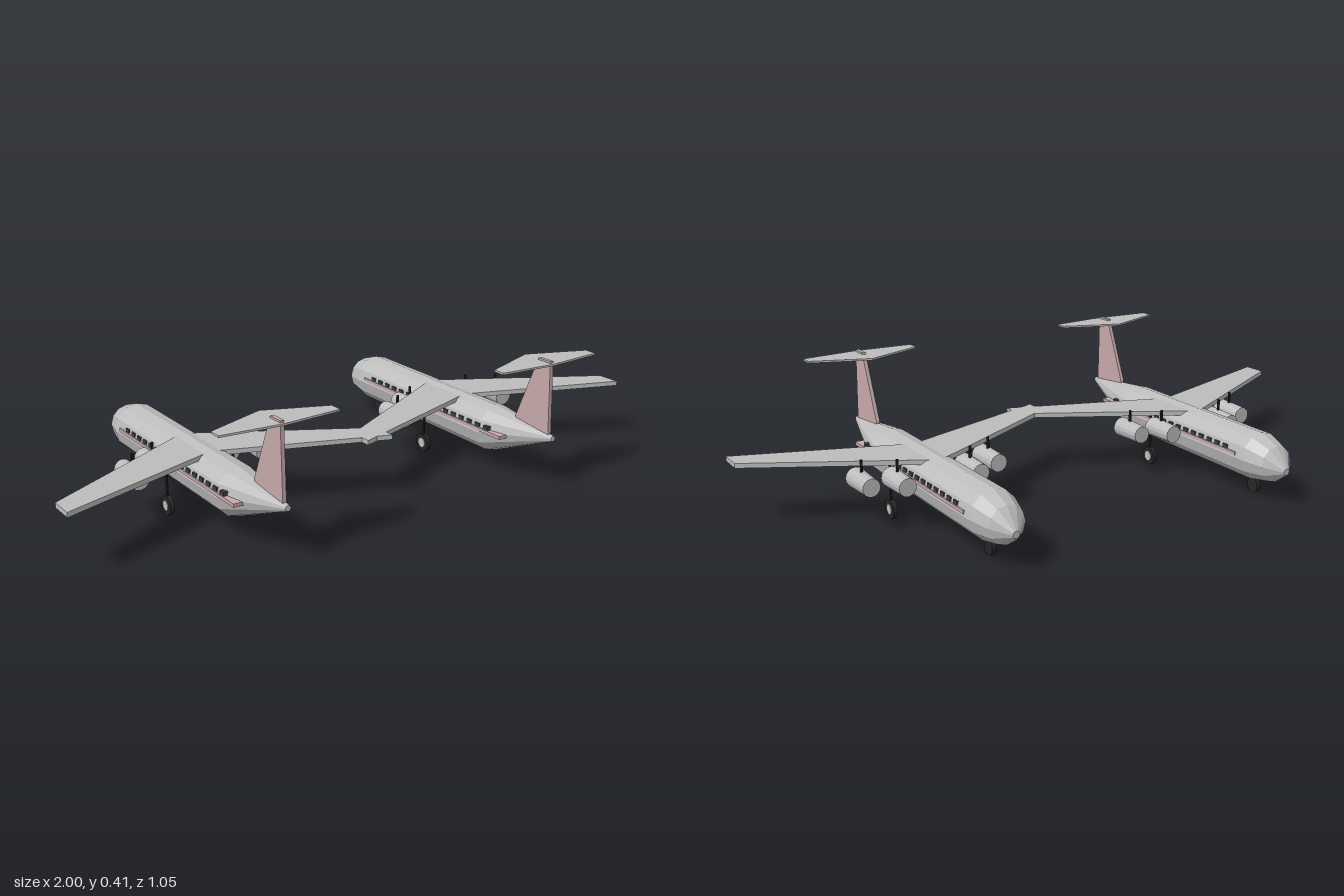
import * as THREE from 'three';

const mat = (name, color, side = THREE.FrontSide) => {
  const m = new THREE.MeshStandardMaterial({ color, side });
  m.name = name;
  m.flatShading = true;
  return m;
};

export function createModel() {
  const grey = mat('airframe grey', 0xbcbcbc);
  const pink = mat('dusty pink', 0xc6a8a8);
  const black = mat('rubber black', 0x262626);
  const glass = mat('window slate', 0x3a4048);

  const add = (parent, name, geometry, material, x = 0, y = 0, z = 0) => {
    const m = new THREE.Mesh(geometry, material);
    m.name = name;
    m.position.set(x, y, z);
    parent.add(m);
    return m;
  };

  // flat plate from an outline of [x, z] points, lying at height y
  const plate = (points, thick) => {
    const shape = new THREE.Shape(points.map(([x, z]) => new THREE.Vector2(x, -z)));
    return new THREE.ExtrudeGeometry(shape, { depth: thick, bevelEnabled: false }).rotateX(-Math.PI / 2);
  };

  // fuselage: twelve-sided tube through rings of [z, centre y, radius]
  const rings = [
    [0.523, 0.17, 0.009], [0.26, 0.128, 0.077], [-0.4, 0.128, 0.077],
    [-0.473, 0.122, 0.058], [-0.522, 0.11, 0.011],
  ];
  const fuselageGeometry = () => {
    const g = new THREE.CylinderGeometry(1, 1, 1, 12, rings.length - 1).rotateX(Math.PI / 2);
    const p = g.attributes.position;
    for (let i = 0; i < p.count; i++) {
      const [z, cy, r] = rings[Math.round((0.5 - p.getZ(i)) * (rings.length - 1))];
      p.setXYZ(i, p.getX(i) * r, cy + p.getY(i) * r, z);
    }
    g.computeVertexNormals();
    return g;
  };

  const createPlane = () => {
    const plane = new THREE.Group();
    add(plane, 'fuselage', fuselageGeometry(), grey);

    // swept wing, tip to tip
    add(plane, 'wing', plate([
      [0, -0.085], [0.5225, 0.203], [0.5225, 0.282],
      [0, 0.098], [-0.5225, 0.282], [-0.5225, 0.203],
    ], 0.015), grey, 0, 0.183);

    // tail fin, outlined in z and y
    const finShape = new THREE.Shape([[-0.506, 0.176], [-0.358, 0.19], [-0.358, 0.202], [-0.447, 0.411], [-0.498, 0.411]]
      .map(([a, b]) => new THREE.Vector2(a, b)));
    const fin = new THREE.ExtrudeGeometry(finShape, { depth: 0.012, bevelEnabled: false })
      .translate(0, 0, -0.006).rotateY(Math.PI / 2);
    add(plane, 'tailFin', fin, pink);

    // high stabilizer
    add(plane, 'stabilizer', plate([
      [0, 0.38], [0.187, 0.453], [0.187, 0.493], [0, 0.508], [-0.187, 0.493], [-0.187, 0.453],
    ], 0.006), grey, 0, 0.399);

    // side stripe and windows, running through both sides
    add(plane, 'sideStripe', new THREE.BoxGeometry(0.156, 0.011, 0.732), pink, 0, 0.1395, 0);
    for (let i = 0; i < 16; i++)
      add(plane, 'window', new THREE.BoxGeometry(0.149, 0.012, 0.022), glass, 0, 0.151, 0.294 - i * 0.0405);

    for (const s of [-1, 1]) {
      // engines with their pylons
      for (const [x, z] of [[0.12, -0.052], [0.21, 0]]) {
        add(plane, 'engine', new THREE.CylinderGeometry(0.032, 0.028, 0.115, 16).rotateX(Math.PI / 2),
          grey, s * x, 0.141, z);
        add(plane, 'pylon', new THREE.CylinderGeometry(0.0045, 0.0045, 0.045, 8), black, s * x, 0.185, z + 0.011);
      }
      // main landing gear
      add(plane, 'mainStrut', new THREE.CylinderGeometry(0.004, 0.004, 0.155, 8), black, s * 0.112, 0.11, 0.03);
      add(plane, 'mainWheel', new THREE.CylinderGeometry(0.03, 0.03, 0.014, 20).rotateZ(Math.PI / 2),
        black, s * 0.112, 0.03, 0.03);
      add(plane, 'wheelHub', new THREE.CylinderGeometry(0.016, 0.016, 0.018, 16).rotateZ(Math.PI / 2),
        grey, s * 0.112, 0.03, 0.03);
    }

    // nose landing gear
    add(plane, 'noseStrut', new THREE.CylinderGeometry(0.004, 0.004, 0.05, 8), black, 0, 0.05, -0.375);
    add(plane, 'noseWheel', new THREE.CylinderGeometry(0.024, 0.024, 0.014, 20).rotateZ(Math.PI / 2),
      black, 0, 0.026, -0.375);
    return plane;
  };

  // two aircraft side by side, inner wing tips overlapping
  const model = new THREE.Group();
  model.name = 'twinAircraft';
  for (const [name, x] of [['leftAircraft', 0.4775], ['rightAircraft', -0.4775]]) {
    const plane = createPlane();
    plane.name = name;
    plane.position.x = x;
    model.add(plane);
  }
  return model;
}
